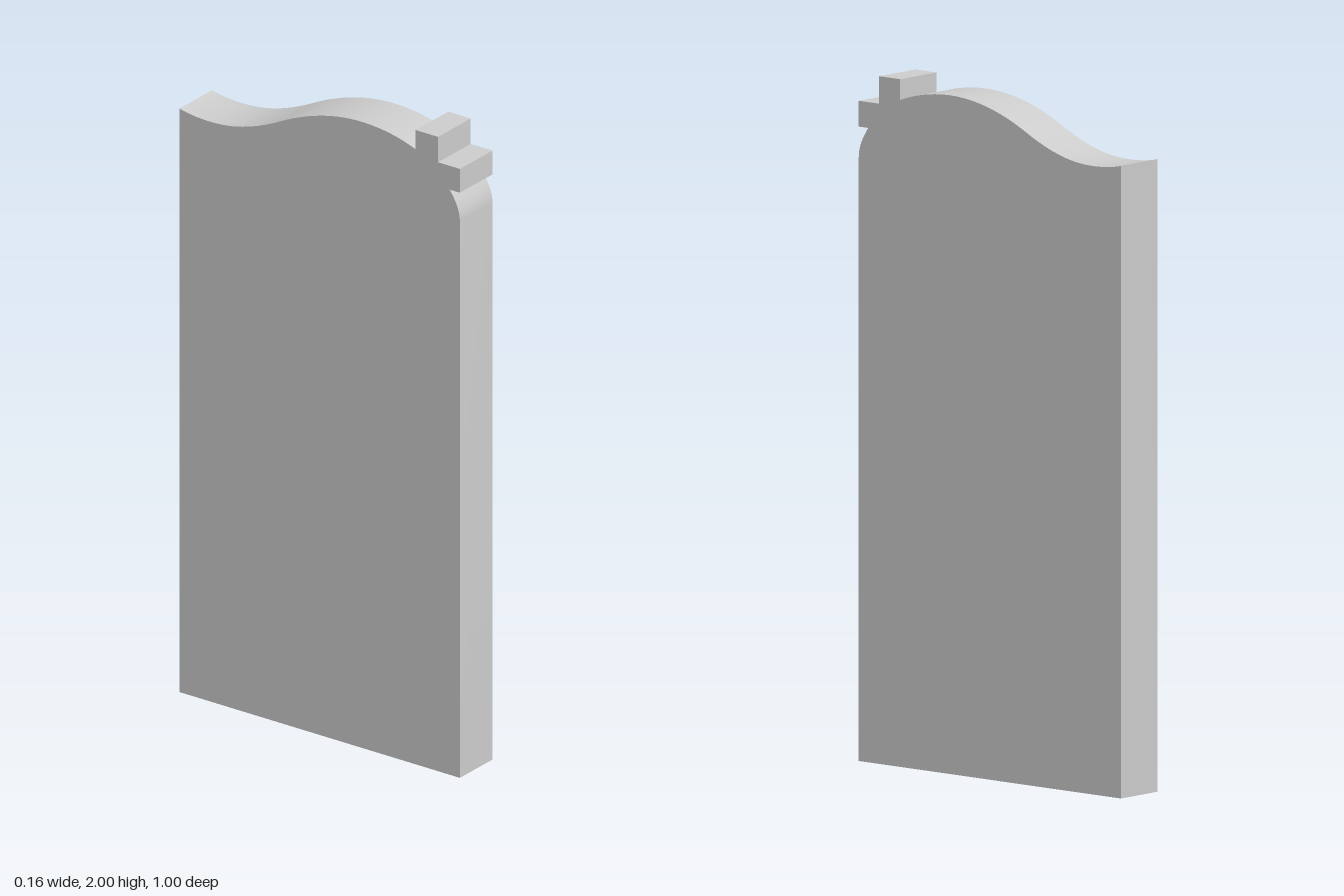
import * as THREE from 'three';
import { toCreasedNormals } from 'three/addons/utils/BufferGeometryUtils.js';

const WIDTH = 0.158;

// Extrude a side profile drawn as (z, y) across the thickness in x
function slab(name, shape, material) {
  const geometry = new THREE.ExtrudeGeometry(shape, { depth: WIDTH, bevelEnabled: false, curveSegments: 16 });
  geometry.translate(0, 0, -WIDTH / 2);
  geometry.rotateY(-Math.PI / 2);
  const mesh = new THREE.Mesh(toCreasedNormals(geometry, 0.6), material);
  mesh.name = name;
  return mesh;
}

export function createModel() {
  const group = new THREE.Group();
  group.name = 'gravestone';
  const material = new THREE.MeshStandardMaterial({ color: 0xcccccc });

  // Upright stone with a rounded front shoulder and a wavy top
  const stone = new THREE.Shape();
  stone.moveTo(-0.5, 0);
  stone.lineTo(0.5, 0);
  stone.lineTo(0.5, 1.755);
  stone.bezierCurveTo(0.5, 1.82, 0.43, 1.9, 0.34, 1.94);
  stone.bezierCurveTo(0.28, 1.963, 0.215, 1.974, 0.15, 1.974);
  stone.bezierCurveTo(0.04, 1.974, -0.06, 1.938, -0.14, 1.897);
  stone.bezierCurveTo(-0.22, 1.856, -0.3, 1.828, -0.39, 1.828);
  stone.bezierCurveTo(-0.43, 1.828, -0.47, 1.832, -0.5, 1.84);
  stone.closePath();
  group.add(slab('stone', stone, material));

  // Cross set into the front shoulder, flush with both faces
  const cross = new THREE.Shape([
    [0.342, 1.65], [0.422, 1.65], [0.422, 1.845], [0.5, 1.845], [0.5, 1.92], [0.422, 1.92],
    [0.422, 2], [0.342, 2], [0.342, 1.92], [0.264, 1.92], [0.264, 1.845], [0.342, 1.845],
  ].map(([z, y]) => new THREE.Vector2(z, y)));
  group.add(slab('cross', cross, material));

  return group;
}
